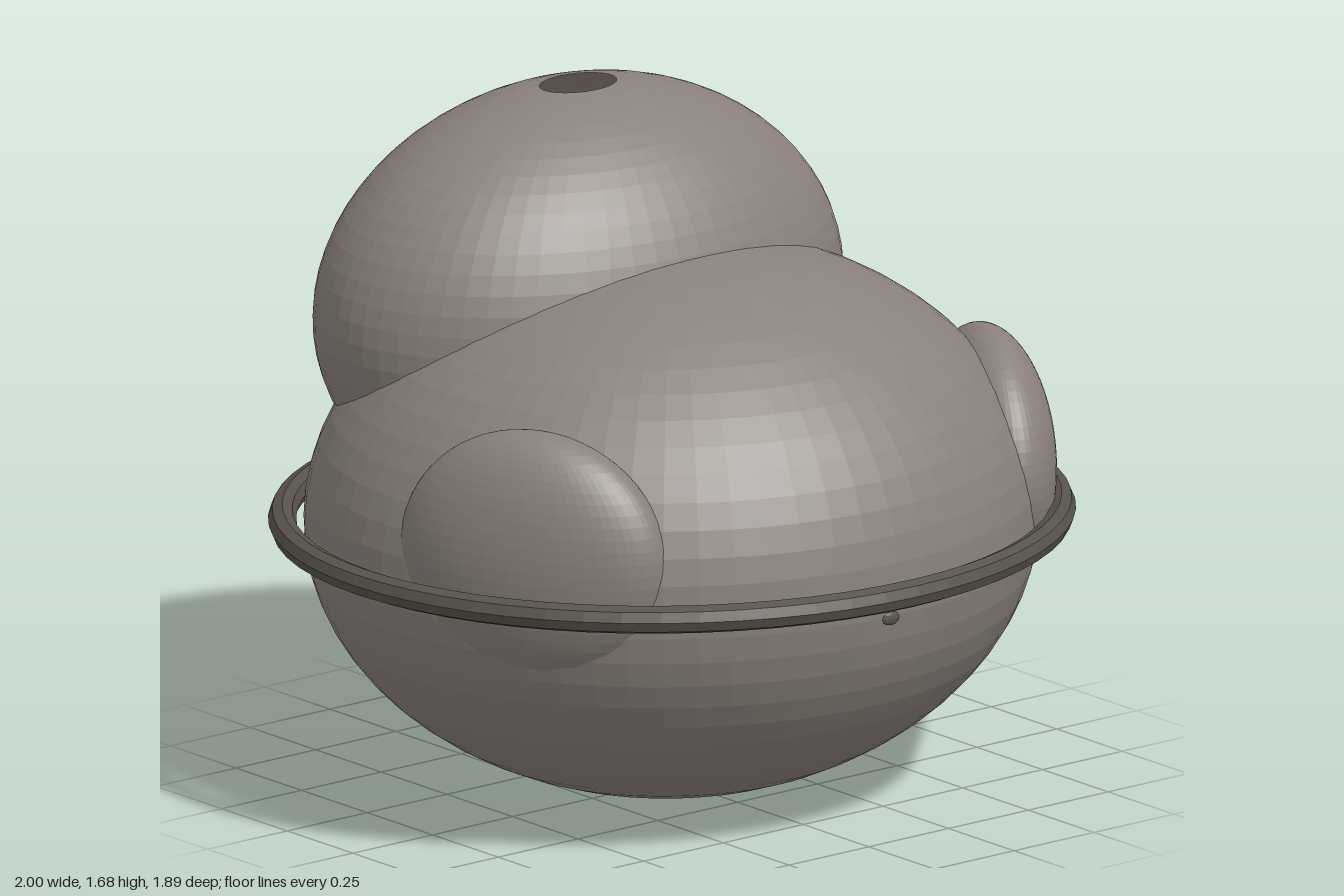
import * as THREE from 'three';

export function createModel() {
  const group = new THREE.Group();
  const stone = new THREE.MeshStandardMaterial({ color: 0x8a817a, flatShading: true, side: THREE.DoubleSide });
  stone.name = 'warm grey';
  const dark = new THREE.MeshStandardMaterial({ color: 0x58534a, flatShading: true });
  dark.name = 'dark olive';

  const add = (name, geometry, material, x, y, z) => {
    const mesh = new THREE.Mesh(geometry, material);
    mesh.name = name;
    mesh.position.set(x, y, z);
    group.add(mesh);
    return mesh;
  };

  // Ellipsoid, optionally left open around its top pole
  const ellipsoid = (rx, ry, rz, open = 0) =>
    new THREE.SphereGeometry(1, 64, 32, 0, Math.PI * 2, open, Math.PI - open).scale(rx, ry, rz);

  // Large squat hull and the smaller dome with an open top
  add('hull', ellipsoid(0.91, 0.675, 0.865), stone, 0, 0.678, 0);
  add('upperDome', ellipsoid(0.72, 0.54, 0.508, 0.146), stone, 0, 1.146, -0.358);

  // Flattened bulges on both front flanks
  for (const side of [-1, 1]) {
    const bulge = add(side > 0 ? 'leftBulge' : 'rightBulge',
      ellipsoid(0.15, 0.315, 0.35), stone, side * 0.71, 0.775, 0.34);
    bulge.rotation.y = -side * 0.45;
  }

  // Ring around the waist, slightly wider than deep
  const ring = new THREE.TorusGeometry(0.965, 0.035, 8, 64);
  ring.rotateX(Math.PI / 2).scale(1, 1, 0.945);
  add('waistRing', ring, dark, 0, 0.678, 0);

  // Small studs just under the ring
  for (const angle of [-0.023, 2.3, -2.3]) {
    const stud = add('stud', new THREE.SphereGeometry(1, 10, 6).scale(0.026, 0.018, 0.008), dark,
      0.904 * Math.sin(angle), 0.608, 0.86 * Math.cos(angle));
    stud.rotation.y = angle;
  }

  return group;
}
